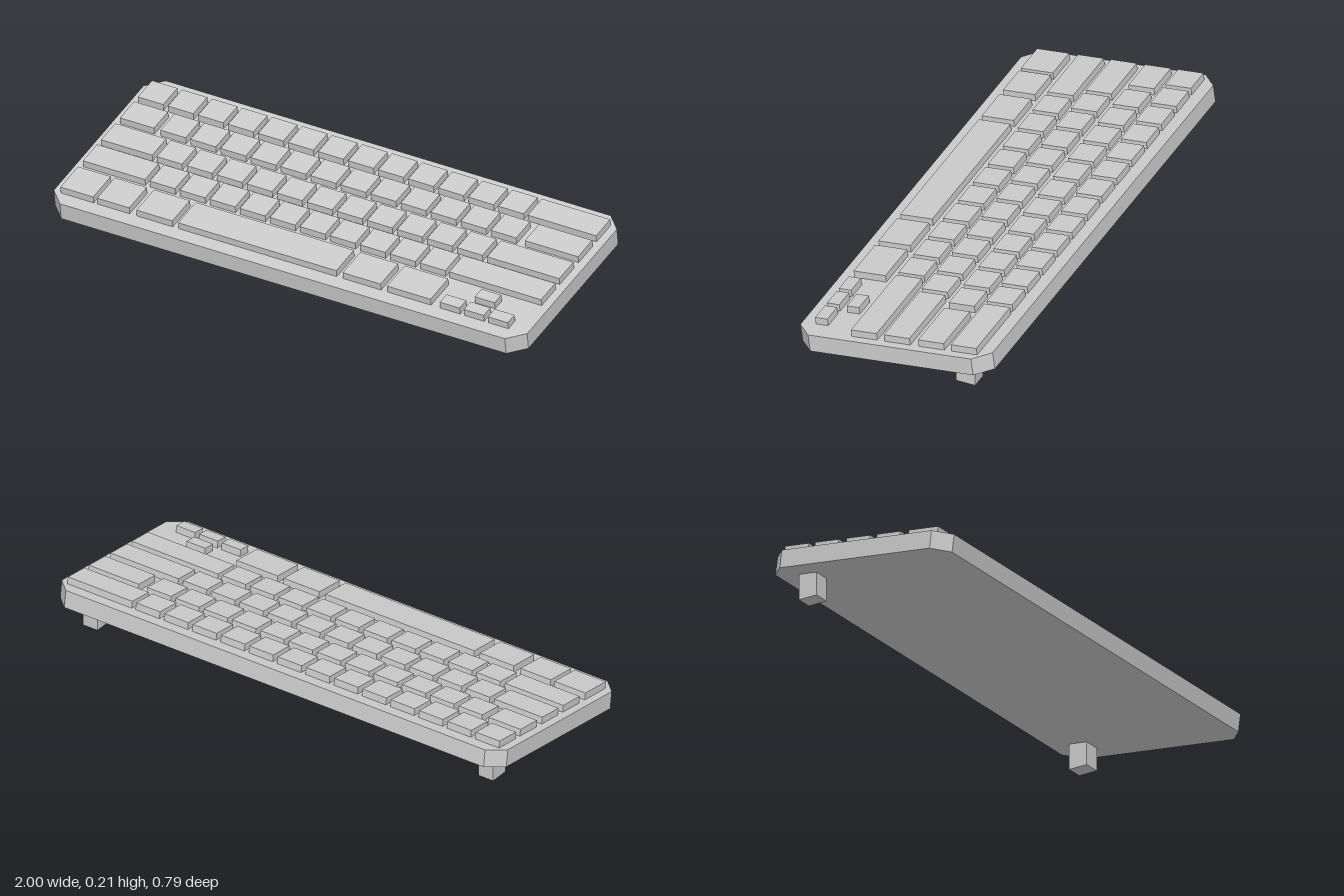
import * as THREE from 'three';

const material = new THREE.MeshStandardMaterial({ color: 0xcccccc, flatShading: true });

function box(name, w, h, d, x, y, z) {
  const mesh = new THREE.Mesh(new THREE.BoxGeometry(w, h, d), material);
  mesh.name = name;
  mesh.position.set(x, y, z);
  return mesh;
}

export function createModel() {
  const model = new THREE.Group();
  model.name = 'keyboard';

  // Everything but the feet leans towards the user
  const deck = new THREE.Group();
  deck.name = 'tiltedDeck';
  deck.position.y = 0.095;
  deck.rotation.x = THREE.MathUtils.degToRad(8);
  model.add(deck);

  // Case: a slab with four cut corners
  const W = 1, D = 0.394, C = 0.06, T = 0.07;
  const outline = new THREE.Shape([
    [W - C, -D], [W, -D + C], [W, D - C], [W - C, D],
    [-W + C, D], [-W, D - C], [-W, -D + C], [-W + C, -D],
  ].map(([x, y]) => new THREE.Vector2(x, y)));
  const slab = new THREE.ExtrudeGeometry(outline, { depth: T, bevelEnabled: false });
  slab.translate(0, 0, -T / 2).rotateX(-Math.PI / 2);
  const body = new THREE.Mesh(slab, material);
  body.name = 'case';
  deck.add(body);

  // Keys stand on the case between two x positions
  const keyHeight = 0.028, sink = 0.005;
  const addKey = (name, x0, x1, z, depth) => deck.add(
    box(name, x1 - x0, keyHeight + sink, depth, (x0 + x1) / 2, T / 2 + (keyHeight - sink) / 2, z));

  // Four upper rows: end keys at the sides, evenly spaced keys between
  const edge = 0.968, pitch = 0.1269, keySize = 0.107;
  const rows = [
    { z: -0.292, start: -0.968, count: 13, rightFrom: 0.679 },
    { z: -0.158, leftTo: -0.824, start: -0.797, count: 12, rightFrom: 0.743 },
    { z: -0.018, leftTo: -0.752, start: -0.733, count: 11, rightFrom: 0.663 },
    { z: 0.117, leftTo: -0.706, start: -0.686, count: 10, rightFrom: 0.580 },
  ];
  for (const { z, leftTo, start, count, rightFrom } of rows) {
    if (leftTo !== undefined) addKey('wideKey', -edge, leftTo, z, 0.105);
    for (let i = 0; i < count; i++) {
      const x = start + i * pitch;
      addKey('key', x, x + keySize, z, 0.105);
    }
    addKey('wideKey', rightFrom, edge, z, 0.105);
  }

  // Bottom row with the space bar
  const bottomKeys = [
    ['modifierKey', -0.968, -0.829], ['modifierKey', -0.813, -0.677],
    ['modifierKey', -0.647, -0.495], ['spaceBar', -0.47, 0.198],
    ['modifierKey', 0.225, 0.385], ['modifierKey', 0.412, 0.596],
  ];
  for (const [name, x0, x1] of bottomKeys) addKey(name, x0, x1, 0.272, 0.131);

  // Arrow cluster
  for (const x of [0.677, 0.779, 0.881]) addKey('arrowKey', x - 0.042, x + 0.042, 0.313, 0.05);
  addKey('arrowKey', 0.779 - 0.042, 0.779 + 0.042, 0.232, 0.05);

  // Upright rear feet
  for (const side of [-1, 1]) {
    model.add(box('rearFoot', 0.066, 0.12, 0.078, side * 0.887, 0.06, -0.266));
  }
  return model;
}
